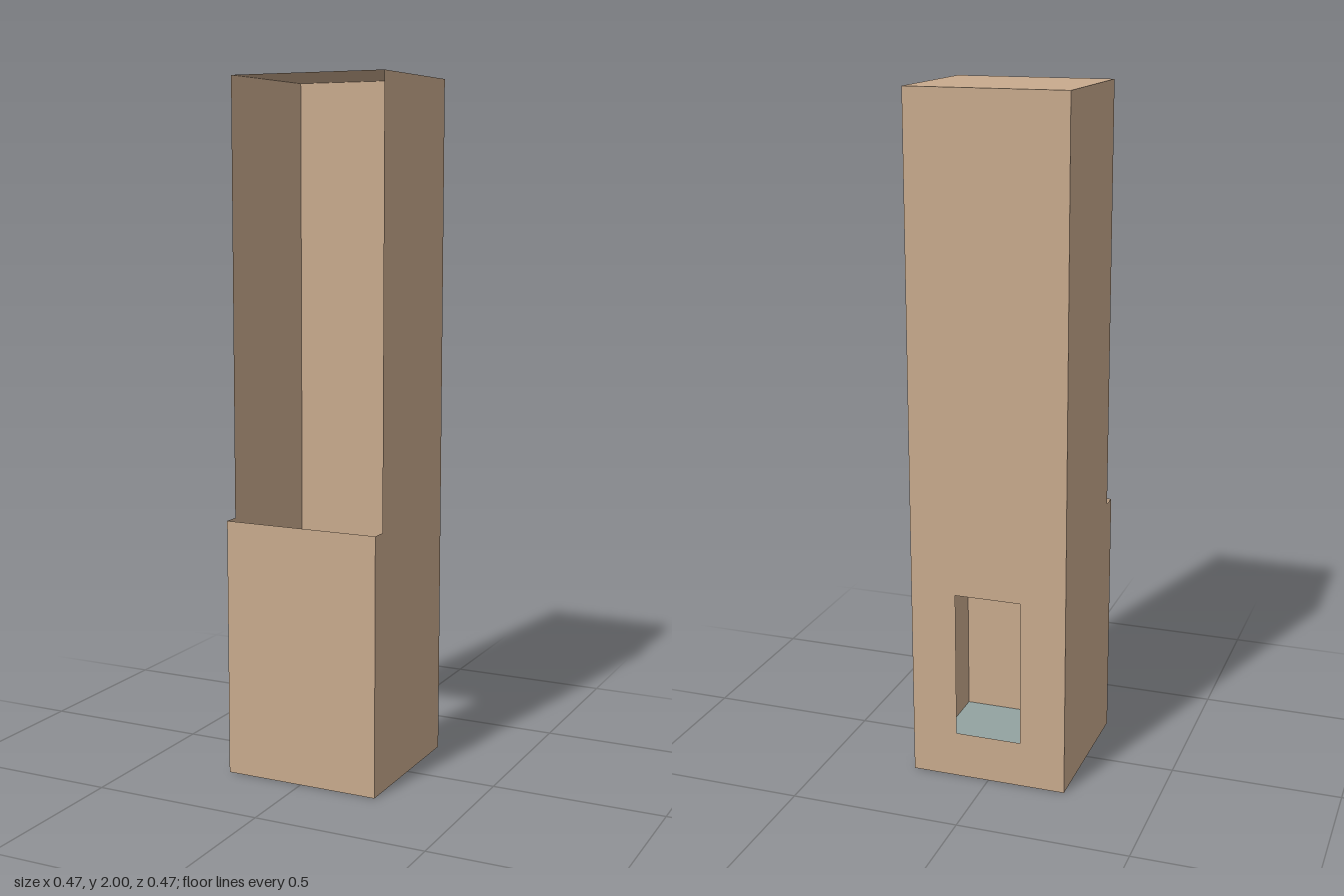
import * as THREE from 'three';

const H = 2;           // tower height
const R = 0.233;       // half width
const STEP_Y = 0.75;   // top of the front panel
const STEP_Z = 0.186;  // front edge of the upper walls and roof

// Closed flat outline from a few corners
function outline(points) {
  return new THREE.Shape(points.map(([x, y]) => new THREE.Vector2(x, y)));
}

export function createModel() {
  const group = new THREE.Group();
  group.name = 'tower';

  const wood = new THREE.MeshStandardMaterial({ color: 0xc8aa8d, side: THREE.DoubleSide });
  wood.name = 'tan wall';
  const slate = new THREE.MeshStandardMaterial({ color: 0x93a3a1, side: THREE.DoubleSide });
  slate.name = 'grey green floor';

  function add(name, geometry, material) {
    const mesh = new THREE.Mesh(geometry, material);
    mesh.name = name;
    group.add(mesh);
    return mesh;
  }

  // Back wall with its doorway
  const back = outline([[-R, 0], [R, 0], [R, H], [-R, H]]);
  back.holes.push(outline([[-0.098, 0.137], [-0.098, 0.573], [0.098, 0.573], [0.098, 0.137]]));
  add('backWall', new THREE.ShapeGeometry(back).rotateY(Math.PI).translate(0, 0, -R), wood);

  // Stepped side walls: drawn in (z, y), turned so the normals face outward
  for (const side of [-1, 1]) {
    const profile = [[-R, 0], [R, 0], [R, STEP_Y], [STEP_Z, STEP_Y], [STEP_Z, H], [-R, H]];
    const wall = outline(profile.map(([z, y]) => [-side * z, y]));
    add(side > 0 ? 'leftWall' : 'rightWall',
      new THREE.ShapeGeometry(wall).rotateY(side * Math.PI / 2).translate(side * R, 0, 0), wood);
  }

  // Low front panel; the front above it stays open
  add('frontPanel', new THREE.PlaneGeometry(2 * R, STEP_Y).translate(0, STEP_Y / 2, R), wood);

  // Roof
  add('roof', new THREE.PlaneGeometry(2 * R, R + STEP_Z)
    .rotateX(-Math.PI / 2).translate(0, H, (STEP_Z - R) / 2), wood);

  // Floor
  add('floor', new THREE.PlaneGeometry(2 * R, 2 * R).rotateX(-Math.PI / 2), slate);

  return group;
}
